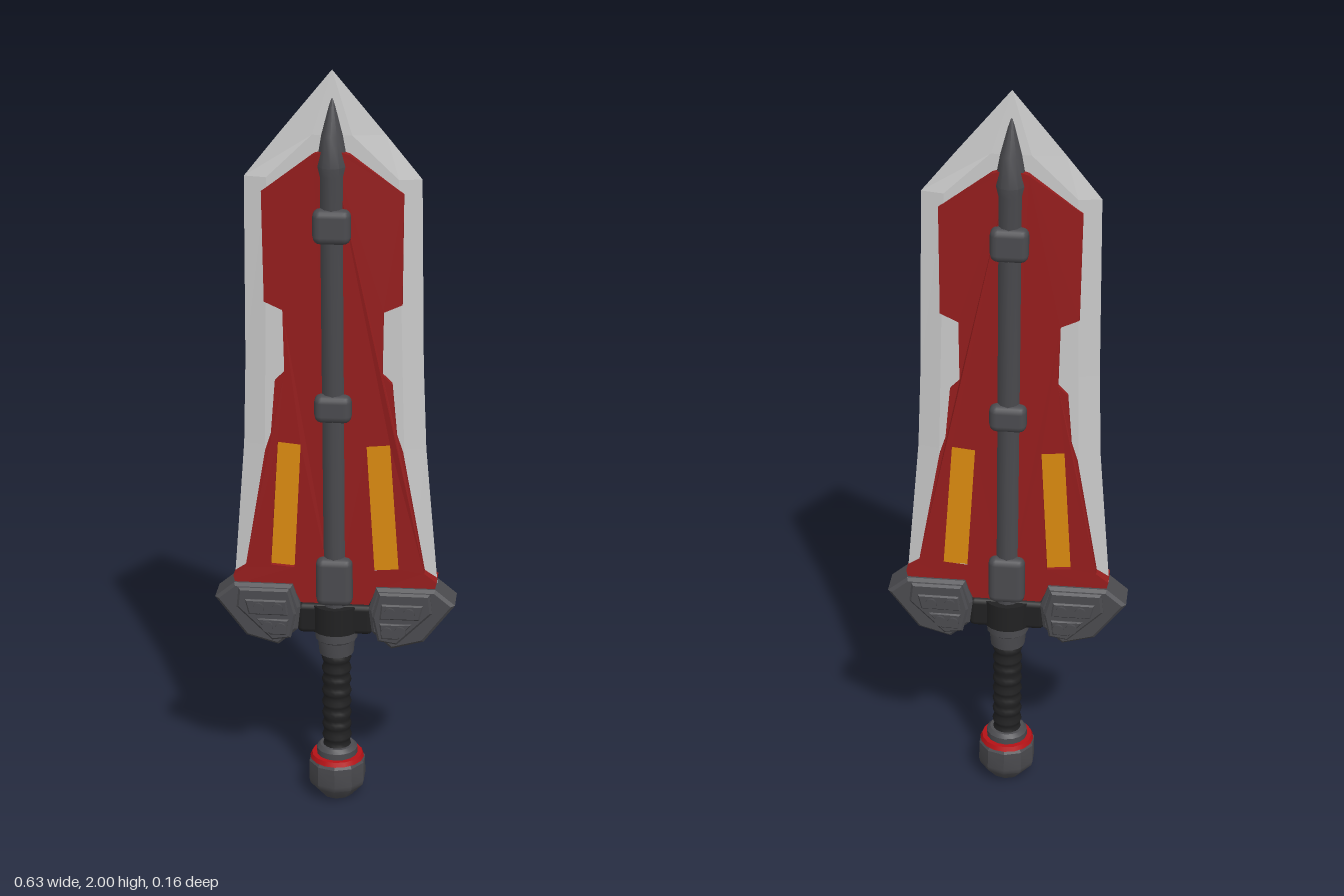
import * as THREE from 'three';
import { toCreasedNormals } from 'three/addons/utils/BufferGeometryUtils.js';
import { RoundedBoxGeometry } from 'three/addons/geometries/RoundedBoxGeometry.js';

const mat = (name, color) => {
  const m = new THREE.MeshStandardMaterial({ color });
  m.name = name;
  return m;
};

export function createModel() {
  const silver = mat('silver', 0xcacaca);
  const red = mat('dark red', 0x951d1d);
  const ringRed = mat('bright red', 0xb51216);
  const gray = mat('gunmetal', 0x4b4b4f);
  const black = mat('black leather', 0x212122);
  const amber = mat('amber', 0xdb8a10);

  const model = new THREE.Group();
  const sword = new THREE.Group();
  sword.name = 'sword';
  sword.position.x = 0.008;
  sword.rotation.z = 0.007; // the blade leans very slightly
  model.add(sword);

  const add = (name, geo, material, x = 0, y = 0, z = 0) => {
    const m = new THREE.Mesh(geo, material);
    m.name = name;
    m.position.set(x, y, z);
    sword.add(m);
    return m;
  };
  const outline = (pts, s) => pts.map(([x, y]) => new THREE.Vector2(x * s, y));
  // Slab centred on z = 0, with a small bevel inside its half thickness
  const slab = (pts, s, half, bevel = 0, hole = null) => {
    const shape = new THREE.Shape(outline(pts, s));
    if (hole) shape.holes.push(new THREE.Path(outline(hole, s)));
    const depth = 2 * (half - bevel);
    const geo = new THREE.ExtrudeGeometry(shape, {
      depth, bevelEnabled: bevel > 0, bevelSize: bevel, bevelOffset: -bevel,
      bevelThickness: bevel, bevelSegments: 1,
    });
    return geo.translate(0, 0, -depth / 2);
  };
  const lathe = (pts, sides, crease = 0.6) => toCreasedNormals(
    new THREE.LatheGeometry(pts.map(([r, y]) => new THREE.Vector2(r, y)), sides), crease);

  // Bevelled blade: hexagonal sections of [y, half width, flat half width, half thickness]
  const sections = [
    [0.64, 0.268, 0.2, 0.016], [1.02, 0.236, 0.18, 0.014], [1.25, 0.228, 0.175, 0.013],
    [1.73, 0.222, 0.165, 0.012], [1.84, 0.133, 0.05, 0.012], [2.0, 0, 0, 0],
  ];
  const verts = [], index = [];
  sections.forEach(([y, e, i, h], k) => {
    verts.push(e, y, 0, i, y, h, -i, y, h, -e, y, 0, -i, y, -h, i, y, -h);
    if (k === sections.length - 1) return;
    for (let j = 0; j < 6; j++) {
      const a = k * 6 + j, b = k * 6 + (j + 1) % 6;
      index.push(a, a + 6, b, b, a + 6, b + 6);
    }
  });
  for (let j = 1; j < 5; j++) index.push(0, j, j + 1);
  const indexed = new THREE.BufferGeometry();
  indexed.setAttribute('position', new THREE.Float32BufferAttribute(verts, 3));
  indexed.setIndex(index);
  const bladeGeo = indexed.toNonIndexed();
  bladeGeo.computeVertexNormals();
  add('blade', bladeGeo, silver);

  // Red panels with a window, thinning outward near the tip
  const panel = [
    [0, 1.81], [0.045, 1.795], [0.178, 1.695], [0.175, 1.41], [0.128, 1.39], [0.125, 1.225],
    [0.15, 1.2], [0.162, 1.06], [0.178, 1.01], [0.235, 0.68], [0.268, 0.655], [0.262, 0.63],
    [0.11, 0.63], [0.09, 0.585], [0, 0.585],
  ];
  const win = [[0.085, 1.03], [0.145, 1.035], [0.168, 0.69], [0.105, 0.685]];
  const winFill = [[0.08, 1.04], [0.15, 1.04], [0.173, 0.68], [0.1, 0.68]];

  // Guard outlines
  const wing = [
    [0.317, 0.595], [0.265, 0.638], [0.11, 0.638], [0.09, 0.575], [0.098, 0.51],
    [0.15, 0.463], [0.235, 0.487],
  ];
  const wingPlate = [
    [0.252, 0.63], [0.118, 0.63], [0.1, 0.56], [0.115, 0.49], [0.165, 0.482], [0.258, 0.575],
  ];
  const pads = [
    [[0.235, 0.6], [0.125, 0.6], [0.12, 0.557], [0.225, 0.557]],
    [[0.205, 0.545], [0.12, 0.545], [0.125, 0.5], [0.17, 0.5]],
  ];
  const bolts = [[0.198, 0.578], [0.148, 0.578], [0.175, 0.525], [0.14, 0.522]];
  const boltGeo = new THREE.CylinderGeometry(0.015, 0.015, 0.14, 10).rotateX(Math.PI / 2);

  for (const s of [1, -1]) {
    const side = s > 0 ? 'left' : 'right';
    const p = slab(panel, s, 1, 0, win);
    const pos = p.attributes.position;
    for (let i = 0; i < pos.count; i++) {
      const rise = THREE.MathUtils.clamp((pos.getY(i) - 0.6) / 1.1, 0, 1);
      pos.setZ(i, Math.sign(pos.getZ(i)) * (0.034 - 0.1 * Math.abs(pos.getX(i)) * rise));
    }
    p.computeVertexNormals();
    add(side + 'Panel', p, red);
    add(side + 'Window', slab(winFill, s, 0.021), amber);
    add(side + 'Guard', slab(wing, s, 0.047, 0.008), gray);
    add(side + 'GuardPlate', slab(wingPlate, s, 0.059, 0.006), gray);
    pads.forEach((pts) => add(side + 'GuardPad', slab(pts, s, 0.064, 0.004), gray));
    bolts.forEach(([x, y]) => add(side + 'GuardBolt', boltGeo, gray, x * s, y));
  }

  // Central spine ending in a spike, with clamping collars
  const spine = lathe([[0.038, 0.56], [0.038, 1.74], [0.042, 1.765], [0.029, 1.84], [0, 1.945]], 12);
  add('spine', spine.scale(1, 1, 1.35), gray);
  for (const [y, h] of [[1.615, 0.09], [1.135, 0.075], [0.652, 0.135]]) {
    add('spineCollar', new RoundedBoxGeometry(0.096, h, 0.12, 2, 0.02), gray, 0, y);
  }

  // Hub between the guard wings
  add('hub', new RoundedBoxGeometry(0.2, 0.085, 0.08, 2, 0.015), black, 0, 0.54);
  add('hubRing', new THREE.CylinderGeometry(0.066, 0.066, 0.075, 20), black, 0, 0.54);
  add('gripCollar', lathe([[0, 0.43], [0.046, 0.43], [0.05, 0.47], [0.056, 0.475],
    [0.056, 0.505], [0, 0.505]], 16), gray);

  // Wrapped grip with ridges
  const wrap = [];
  for (let i = 0; i <= 36; i++) wrap.push([0.037 + 0.003 * Math.sin(i * Math.PI / 2), 0.14 + i * 0.3 / 36]);
  add('grip', lathe(wrap, 16, 1.2), black);

  // Pommel with a red ring
  add('pommelCollar', lathe([[0, 0.115], [0.055, 0.115], [0.055, 0.145], [0.046, 0.155], [0, 0.155]], 16), gray);
  add('pommelRing', new THREE.CylinderGeometry(0.068, 0.073, 0.012, 16), ringRed, 0, 0.122);
  add('pommel', lathe([[0, 0], [0.042, 0.004], [0.074, 0.04], [0.078, 0.055], [0.077, 0.108],
    [0.07, 0.118], [0, 0.118]], 10, 0.5), gray);

  return model;
}
